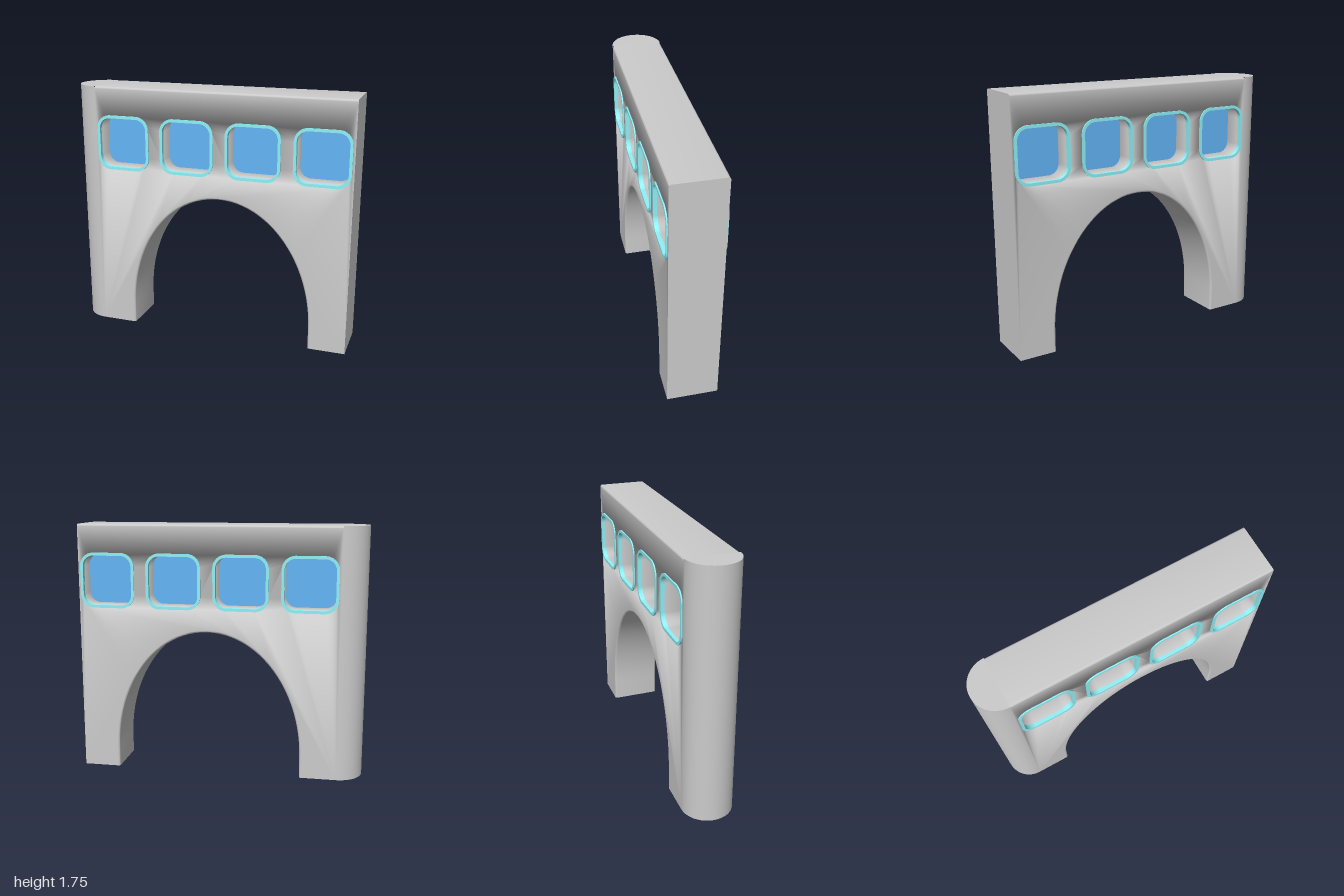
import * as THREE from 'three';
import { toCreasedNormals } from 'three/addons/utils/BufferGeometryUtils.js';

const HALF = 0.175;      // half thickness of the wall
const JOIN = -0.825;     // where the rounded end meets the wall
const TOP = 1.75;
const BEVEL = 0.015;
const WINDOW_Y = 1.361;
const WINDOW_XS = [-0.618, -0.148, 0.322, 0.792];
const OPENING = 0.375;   // window opening before its edge is rounded
const CORNER = 0.09;

const wallColor = new THREE.MeshStandardMaterial({ color: 0xfafafa });
const frameColor = new THREE.MeshStandardMaterial({ color: 0x90f2f8 });
const glassColor = new THREE.MeshStandardMaterial({ color: 0x64b5f6 });

// Rounded rectangle drawn into a Shape or Path
function roundedRect(path, cx, cy, size, r) {
  const d = size / 2 - r;
  path.absarc(cx + d, cy + d, r, 0, Math.PI / 2);
  path.absarc(cx - d, cy + d, r, Math.PI / 2, Math.PI);
  path.absarc(cx - d, cy - d, r, Math.PI, Math.PI * 1.5);
  path.absarc(cx + d, cy - d, r, Math.PI * 1.5, Math.PI * 2);
  path.closePath();
  return path;
}

function addMesh(parent, name, geometry, material) {
  const mesh = new THREE.Mesh(geometry, material);
  mesh.name = name;
  parent.add(mesh);
  return mesh;
}

// Soft shading: window edges lean halfway into their openings, the rest of each face is flat
function softenNormals(geometry) {
  const p = geometry.attributes.position, n = geometry.attributes.normal;
  const v = new THREE.Vector3();
  const straight = OPENING / 2 - CORNER;
  const beyond = (d) => d - THREE.MathUtils.clamp(d, -straight, straight);
  for (let i = 0; i < p.count; i++) {
    const side = Math.sign(p.getZ(i));
    const dy = p.getY(i) - WINDOW_Y;
    const cx = WINDOW_XS.find((x) => Math.abs(p.getX(i) - x) < 0.2 && Math.abs(dy) < 0.2);
    if (cx !== undefined) {
      v.set(-beyond(p.getX(i) - cx), -beyond(dy), 0).normalize();
      v.z = side;
      v.normalize();
    } else if (Math.abs(p.getZ(i)) > HALF - 1e-4 && Math.abs(n.getZ(i)) > 0.5) {
      v.set(0, 0, side);
    } else {
      continue;
    }
    n.setXYZ(i, v.x, v.y, v.z);
  }
  return geometry;
}

// Wall with arch and window openings; edges rounded at the top, arch and windows
function wallGeometry() {
  const archX = 0.085, archR = 0.653 + BEVEL, spring = 0.15, rise = 0.864 + BEVEL;
  const shape = new THREE.Shape();
  shape.moveTo(JOIN, 0);
  shape.lineTo(archX - archR, 0);
  shape.lineTo(archX - archR, spring);
  shape.absellipse(archX, spring, archR, rise, Math.PI, 0, true);
  shape.lineTo(archX + archR, 0);
  shape.lineTo(1, 0);
  shape.lineTo(1, TOP - BEVEL);
  shape.lineTo(JOIN, TOP - BEVEL);
  shape.closePath();
  for (const x of WINDOW_XS) {
    shape.holes.push(roundedRect(new THREE.Path(), x, WINDOW_Y, OPENING, CORNER));
  }
  const depth = 2 * (HALF - BEVEL);
  const geometry = new THREE.ExtrudeGeometry(shape, {
    depth, bevelEnabled: true, bevelSize: BEVEL, bevelThickness: BEVEL, bevelSegments: 4, curveSegments: 24,
  });
  geometry.translate(0, 0, -depth / 2);
  // Clamp the outer ends and the foot so those edges stay square
  const p = geometry.attributes.position;
  for (let i = 0; i < p.count; i++) {
    p.setX(i, THREE.MathUtils.clamp(p.getX(i), JOIN, 1));
    p.setY(i, Math.max(0, p.getY(i)));
  }
  return softenNormals(toCreasedNormals(geometry, 0.6));
}

export function createModel() {
  const model = new THREE.Group();
  model.name = 'archedWall';

  addMesh(model, 'wall', wallGeometry(), wallColor);

  // Half-round end
  const end = new THREE.CylinderGeometry(HALF, HALF, TOP, 40, 1, false, Math.PI, Math.PI);
  addMesh(model, 'roundedEnd', end, wallColor).position.set(JOIN, TOP / 2, 0);

  // Window frame and pane profiles
  const ring = roundedRect(new THREE.Shape(), 0, 0, 0.385, 0.095);
  ring.holes.push(roundedRect(new THREE.Path(), 0, 0, 0.345, 0.075));
  const frameGeo = toCreasedNormals(new THREE.ExtrudeGeometry(ring, {
    depth: 0.03, bevelEnabled: false, curveSegments: 12,
  }), 0.6);
  const pane = roundedRect(new THREE.Shape(), 0, 0, 0.352, 0.079);
  const paneGeo = new THREE.ExtrudeGeometry(pane, { depth: 0.09, bevelEnabled: false, curveSegments: 12 });
  paneGeo.translate(0, 0, -0.045);

  // Windows with a frame on both faces
  WINDOW_XS.forEach((x, i) => {
    const win = new THREE.Group();
    win.name = `window${i + 1}`;
    win.position.set(x, WINDOW_Y, 0);
    addMesh(win, 'pane', paneGeo, glassColor);
    addMesh(win, 'frontFrame', frameGeo, frameColor).position.z = 0.154;
    addMesh(win, 'backFrame', frameGeo, frameColor).position.z = -0.184;
    model.add(win);
  });

  return model;
}
